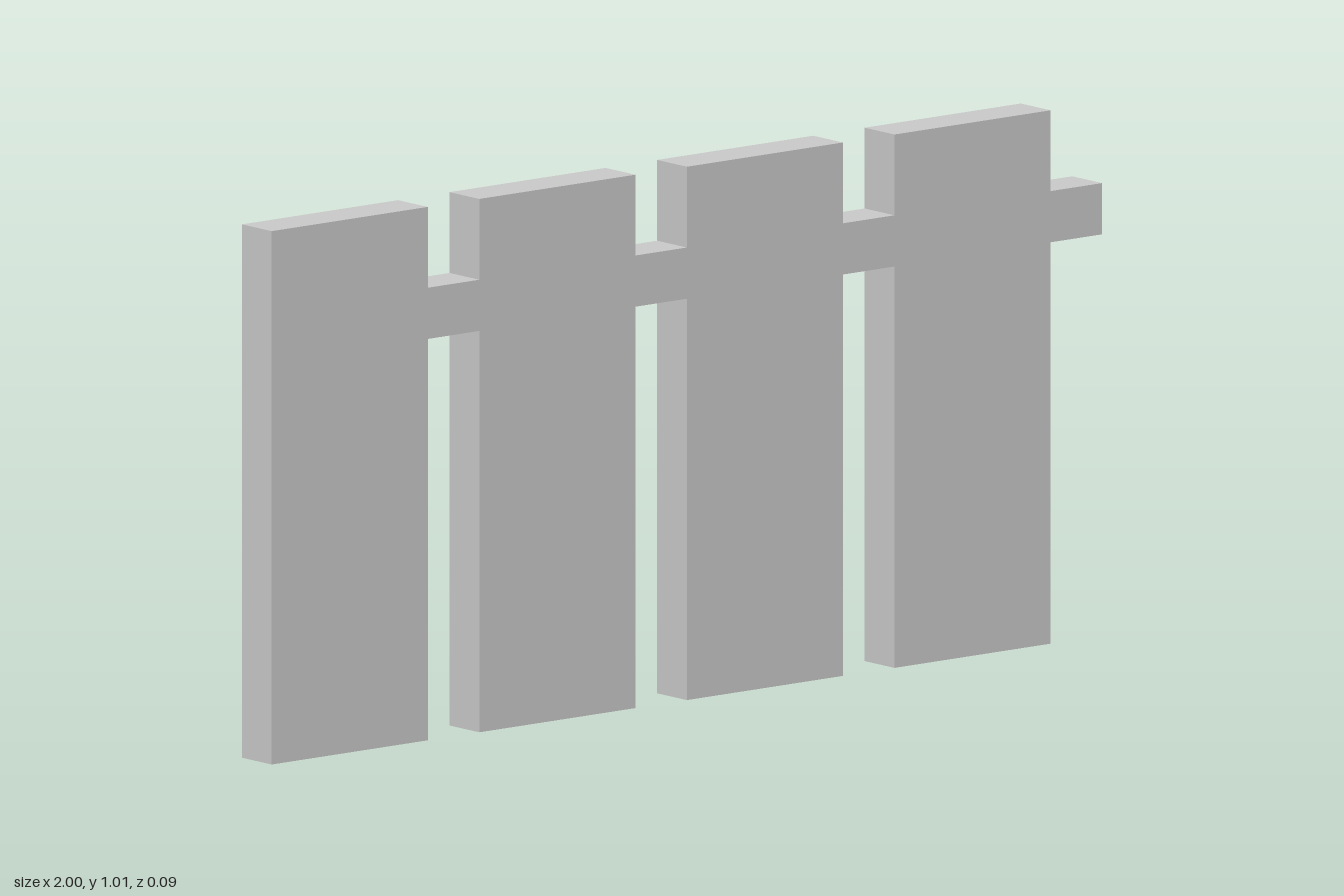
import * as THREE from 'three';

const BOARDS = 4, PITCH = 0.5, BOARD_WIDTH = 0.376, HEIGHT = 1.01, DEPTH = 0.087;
const RAIL_BOTTOM = 0.76, RAIL_TOP = 0.857;

export function createModel() {
  const group = new THREE.Group();
  group.name = 'fenceSection';

  // One outline: boards joined by a flush rail that ends in a stub at +x
  const lower = [], upper = [];
  for (let i = 0; i < BOARDS; i++) {
    const left = -1 + i * PITCH, right = left + BOARD_WIDTH, next = left + PITCH;
    lower.push([left, 0], [right, 0], [right, RAIL_BOTTOM], [next, RAIL_BOTTOM]);
    upper.push([left, HEIGHT], [right, HEIGHT], [right, RAIL_TOP], [next, RAIL_TOP]);
  }
  const outline = [...lower, ...upper.reverse()].map(([x, y]) => new THREE.Vector2(x, y));

  const geometry = new THREE.ExtrudeGeometry(new THREE.Shape(outline), { depth: DEPTH, bevelEnabled: false });
  geometry.translate(0, 0, -DEPTH / 2);

  const fence = new THREE.Mesh(geometry, new THREE.MeshStandardMaterial({ color: 0xcccccc, flatShading: true }));
  fence.name = 'boardsAndRail';
  group.add(fence);
  return group;
}
